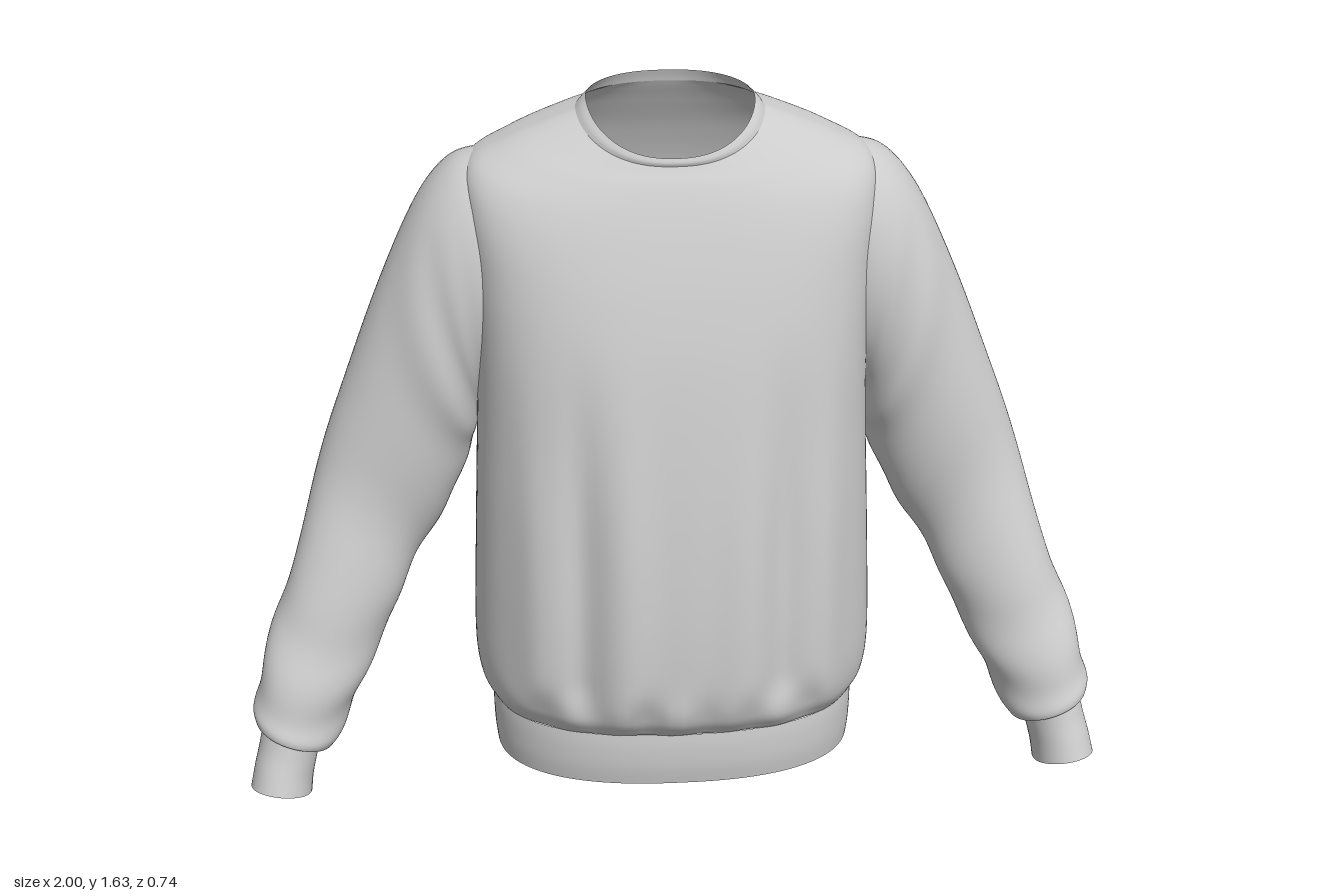
import * as THREE from 'three';

const material = new THREE.MeshStandardMaterial({ color: 0xcccccc, side: THREE.DoubleSide, roughness: 0.9 });

// Smoothly interpolates a table of section parameters at t in 0..1
function sampleRows(rows, t) {
  const f = t * (rows.length - 1);
  const i = Math.min(Math.floor(f), rows.length - 2);
  const u = f - i;
  const row = (k) => rows[Math.max(0, Math.min(rows.length - 1, k))];
  return rows[i].map((p1, c) => {
    const p0 = row(i - 1)[c], p2 = row(i + 1)[c], p3 = row(i + 2)[c];
    return p1 + 0.5 * u * (p2 - p0 + u * (2 * p0 - 5 * p1 + 4 * p2 - p3 + u * (3 * (p1 - p2) + p3 - p0)));
  });
}

// Open tube through closed sections, listed from bottom to top
function loft(name, rows, point, steps, around) {
  const positions = [], index = [];
  for (let i = 0; i <= steps; i++) {
    const section = sampleRows(rows, i / steps);
    for (let j = 0; j < around; j++) positions.push(...point(section, (j / around) * Math.PI * 2, i / steps));
  }
  for (let i = 0; i < steps; i++) {
    for (let j = 0; j < around; j++) {
      const k = (j + 1) % around;
      const a = i * around + j, b = a + around, c = i * around + k, d = c + around;
      index.push(a, b, c, b, d, c);
    }
  }
  const geometry = new THREE.BufferGeometry();
  geometry.setAttribute('position', new THREE.Float32BufferAttribute(positions, 3));
  geometry.setIndex(index);
  geometry.computeVertexNormals();
  const mesh = new THREE.Mesh(geometry, material);
  mesh.name = name;
  return mesh;
}

const power = (v, e) => Math.sign(v) * Math.abs(v) ** e;
const bump = (v, centre, width) => Math.exp(-(((v - centre) / width) ** 2));

// Torso section: halfWidth, zFront, zBack, yFront, yBack, ySide, roundness
function torsoPoint([w, zf, zb, yf, yb, ys, e], a) {
  const c = Math.cos(a), s = Math.sin(a);
  const mid = (zf + zb) / 2;
  return [
    w * power(c, e),
    ys + ((s > 0 ? yf : yb) - ys) * Math.abs(s) ** 1.25,
    mid + ((zf - zb) / 2) * power(s, e),
  ];
}

// Torso with hanging folds and gathers above the hem
function foldedTorsoPoint(section, a) {
  const p = torsoPoint(section, a);
  const [x, y] = p, s = Math.sin(a), ax = Math.abs(x);
  const [low, high] = s > 0 ? [0.6, 1.2] : [0.9, 1.45];
  const hang = THREE.MathUtils.smoothstep(y, 0.2, 0.35) * (1 - THREE.MathUtils.smoothstep(y, low, high));
  const wave = s > 0
    ? bump(ax, 0.12, 0.06) * 0.012 - bump(ax, 0.225, 0.04) * 0.024 + bump(ax, 0.34, 0.04) * 0.018 + Math.cos(x * 41 - y) * 0.003
    : Math.cos((ax - 0.14) * 23 + y * 0.6) * 0.016;
  const gather = bump(y, 0.265, 0.055) * (Math.cos(x * 52 + 1) * 0.008 + Math.cos(x * 31) * 0.005);
  // Soft lobe of cloth behind each armhole
  const lobe = s < 0 ? bump(ax, 0.41, 0.05) * bump(y, 1.15, 0.22) * 0.03 : 0;
  p[2] += s * (hang * wave + gather + lobe);
  return p;
}

const torsoRows = [
  [0.425, 0.315, -0.295, 0.205, 0.2, 0.2, 0.84],
  [0.437, 0.33, -0.32, 0.22, 0.215, 0.22, 0.84],
  [0.455, 0.355, -0.347, 0.26, 0.255, 0.26, 0.86],
  [0.464, 0.366, -0.36, 0.34, 0.34, 0.34, 0.87],
  [0.46, 0.362, -0.358, 0.5, 0.5, 0.5, 0.86],
  [0.452, 0.343, -0.348, 0.7, 0.7, 0.7, 0.83],
  [0.444, 0.315, -0.335, 0.9, 0.9, 0.9, 0.79],
  [0.442, 0.282, -0.322, 1.08, 1.08, 1.08, 0.72],
  [0.45, 0.245, -0.31, 1.22, 1.24, 1.25, 0.68],
  [0.462, 0.207, -0.29, 1.33, 1.37, 1.4, 0.68],
  [0.447, 0.176, -0.252, 1.405, 1.475, 1.48, 0.74],
  [0.375, 0.15, -0.213, 1.455, 1.55, 1.523, 0.82],
  [0.28, 0.13, -0.19, 1.483, 1.59, 1.562, 0.85],
  [0.208, 0.122, -0.182, 1.495, 1.605, 1.588, 0.85],
];
const hemRows = [
  [0.42, 0.31, -0.285, 0.075, 0.045, 0.065, 0.84],
  [0.425, 0.317, -0.293, 0.12, 0.1, 0.11, 0.84],
  [0.427, 0.318, -0.298, 0.17, 0.16, 0.17, 0.84],
  [0.425, 0.315, -0.295, 0.205, 0.2, 0.2, 0.84],
];
const collarRows = [
  [0.208, 0.122, -0.182, 1.495, 1.605, 1.588, 0.85],
  [0.198, 0.124, -0.179, 1.503, 1.617, 1.6, 0.85],
  [0.185, 0.12, -0.174, 1.513, 1.632, 1.612, 0.85],
];

// Sleeve section: outer x, y, inner x, y, zCentre, zHalfDepth, front lift
const sleeveRows = [
  [0.967, 0.172, 0.836, 0.13, 0.125, 0.09, 0.01],
  [0.982, 0.19, 0.808, 0.115, 0.122, 0.102, 0.01],
  [0.978, 0.25, 0.78, 0.16, 0.108, 0.106, 0.01],
  [0.93, 0.41, 0.715, 0.29, 0.067, 0.11, 0],
  [0.87, 0.57, 0.65, 0.43, 0.027, 0.116, 0],
  [0.82, 0.75, 0.585, 0.55, -0.02, 0.125, 0],
  [0.75, 0.95, 0.515, 0.67, -0.042, 0.14, 0],
  [0.66, 1.18, 0.462, 0.78, -0.055, 0.165, 0],
  [0.57, 1.372, 0.442, 0.87, -0.067, 0.186, 0],
  [0.495, 1.466, 0.43, 0.92, -0.072, 0.194, 0],
  [0.42, 1.497, 0.41, 0.96, -0.06, 0.178, 0],
  [0.34, 1.505, 0.385, 0.98, -0.045, 0.13, 0],
];
const cuffRows = [
  [0.999, 0.036, 0.86, 0.011, 0.163, 0.088, 0.022],
  [0.988, 0.085, 0.855, 0.05, 0.15, 0.087, 0.018],
  [0.976, 0.13, 0.845, 0.092, 0.137, 0.087, 0.013],
  [0.967, 0.172, 0.836, 0.13, 0.125, 0.09, 0.01],
];

function sleevePoint(side, wrinkle) {
  return ([ox, oy, ix, iy, zc, rz, lift], a, t) => {
    const c = Math.cos(a), s = Math.sin(a) * side;
    // Diagonal creases at the forearm, elbow and armpit
    const crease = wrinkle * (
      bump(t, 0.22, 0.1) * Math.sin(t * 50 + s * 2.5 + c) * 0.045 +
      bump(t, 0.45, 0.12) * Math.sin(t * 40 - s * 2.5) * 0.035 * (0.6 - 0.4 * c) +
      bump(t, 0.68, 0.08) * Math.sin(t * 45 + s * 3) * 0.04 * Math.max(0, s - c * 0.5));
    const k = 1 + crease;
    return [
      side * ((ox + ix) / 2 + ((ox - ix) / 2) * c * k),
      (oy + iy) / 2 + ((oy - iy) / 2) * c * k + lift * s,
      zc + rz * power(s, 0.92) * k,
    ];
  };
}

export function createModel() {
  const group = new THREE.Group();
  group.name = 'sweatshirt';

  group.add(
    loft('torso', torsoRows, foldedTorsoPoint, 110, 160),
    loft('hemBand', hemRows, torsoPoint, 12, 160),
    loft('collar', collarRows, torsoPoint, 12, 160),
  );

  // Sleeves and cuffs, mirrored by building each side
  for (const side of [1, -1]) {
    const label = side > 0 ? 'left' : 'right';
    const arm = new THREE.Group();
    arm.name = `${label}Arm`;
    arm.add(
      loft(`${label}Sleeve`, sleeveRows, sleevePoint(side, 1), 100, 72),
      loft(`${label}Cuff`, cuffRows, sleevePoint(side, 0), 12, 72),
    );
    group.add(arm);
  }
  return group;
}
